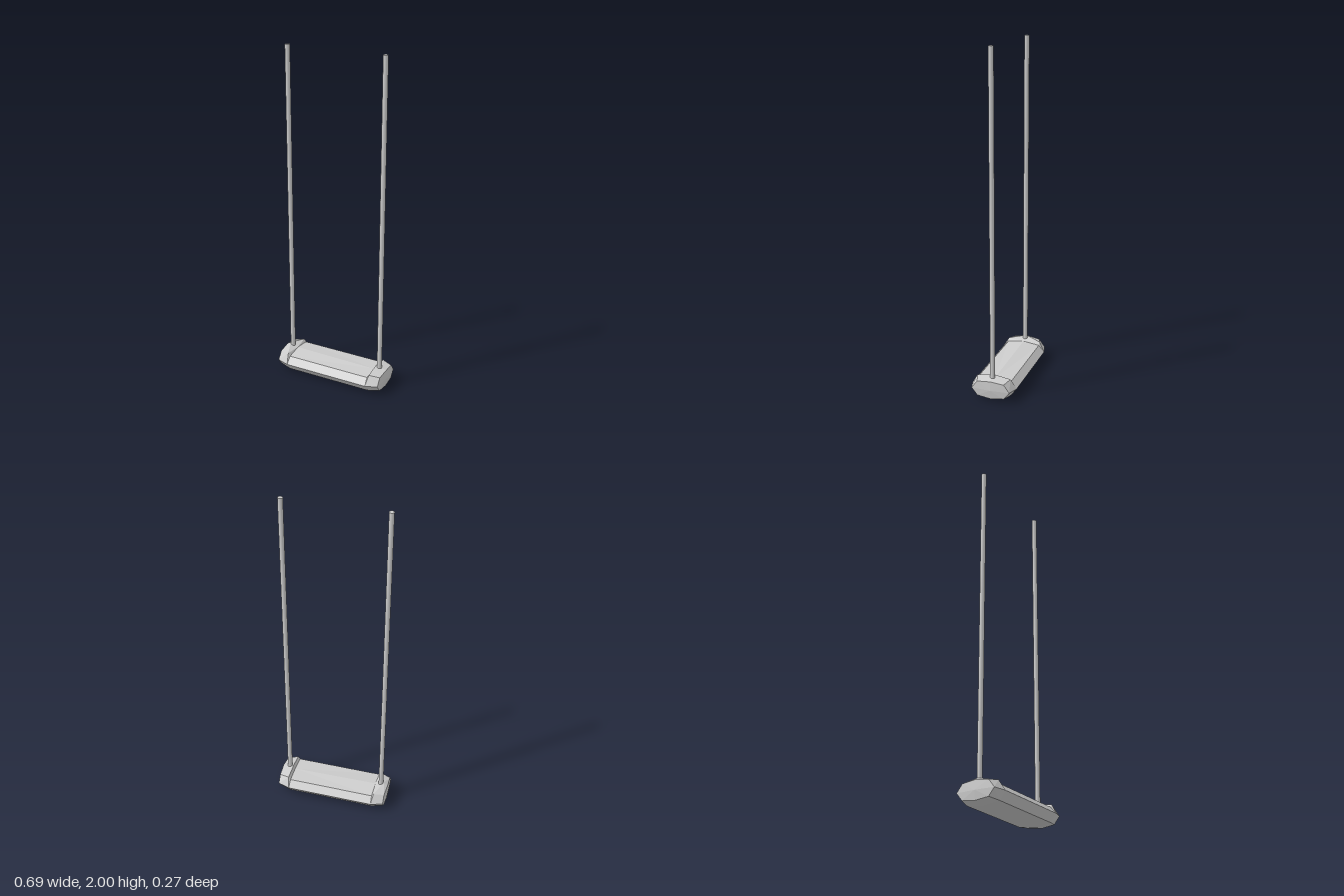
import * as THREE from 'three';

const material = () => new THREE.MeshStandardMaterial({ color: 0xcccccc });

// Eight-sided section, symmetric front to back. Each point is [x, y, z].
function ring(side, mid, upper, top, lower, bottom) {
  const v = ([x, y, z], k = 1) => new THREE.Vector3(x * side, y, z * k);
  return [v(mid), v(upper), v(top), v(upper, -1), v(mid, -1), v(lower, -1), v(bottom), v(lower)];
}

function seatGeometry() {
  const MID = [0.264, 0.062, 0.135], LOW = [0.264, 0.015, 0.1], BOT = [0.264, 0, 0];
  // end face, raised lip, then the lower seat top
  const end = (s) => ring(s, [0.336, 0.065, 0.114], [0.336, 0.11, 0.08], [0.34, 0.119, 0],
    [0.336, 0.022, 0.08], [0.338, 0.012, 0]);
  const lip = (s, topX) => ring(s, MID, [0.274, 0.12, 0.1], [topX, 0.135, 0], LOW, BOT);
  const seat = (s, y) => ring(s, MID, [0.262, 0.102, 0.1], [0.263, y, 0], LOW, BOT);
  const rings = [end(-1), lip(-1, 0.315), seat(-1, 0.115), seat(1, 0.107), lip(1, 0.272), end(1)];

  const positions = [];
  const tri = (a, b, c) => {
    if (new THREE.Triangle(a, b, c).getArea() < 1e-7) return;
    for (const p of [a, b, c]) positions.push(p.x, p.y, p.z);
  };
  for (let j = 0; j < rings.length - 1; j++) {
    for (let i = 0; i < 8; i++) {
      const n = (i + 1) % 8;
      const a = rings[j][i], b = rings[j][n], c = rings[j + 1][i], d = rings[j + 1][n];
      // diagonals mirror front to back
      const flip = (i % 4 >= 2) !== (j >= 3);
      if (flip) { tri(a, c, b); tri(c, d, b); }
      else { tri(a, c, d); tri(a, d, b); }
    }
  }
  // slightly bulged end caps
  const left = new THREE.Vector3(-0.344, 0.065, 0), right = new THREE.Vector3(0.344, 0.065, 0);
  for (let i = 0; i < 8; i++) {
    const n = (i + 1) % 8;
    tri(left, rings[0][i], rings[0][n]);
    tri(right, rings[5][n], rings[5][i]);
  }
  const geometry = new THREE.BufferGeometry();
  geometry.setAttribute('position', new THREE.Float32BufferAttribute(positions, 3));
  geometry.computeVertexNormals();
  return geometry;
}

export function createModel() {
  const group = new THREE.Group();
  group.name = 'swing';

  const seatMaterial = material();
  seatMaterial.flatShading = true;
  const seat = new THREE.Mesh(seatGeometry(), seatMaterial);
  seat.name = 'seat';
  group.add(seat);

  // ropes rising from both lips
  const bottom = 0.1, height = 2 - bottom;
  const ropeGeometry = new THREE.CylinderGeometry(0.0145, 0.0145, height, 16);
  for (const [name, x] of [['leftRope', 0.295], ['rightRope', -0.297]]) {
    const rope = new THREE.Mesh(ropeGeometry, material());
    rope.name = name;
    rope.position.set(x, bottom + height / 2, 0);
    group.add(rope);
  }
  return group;
}
